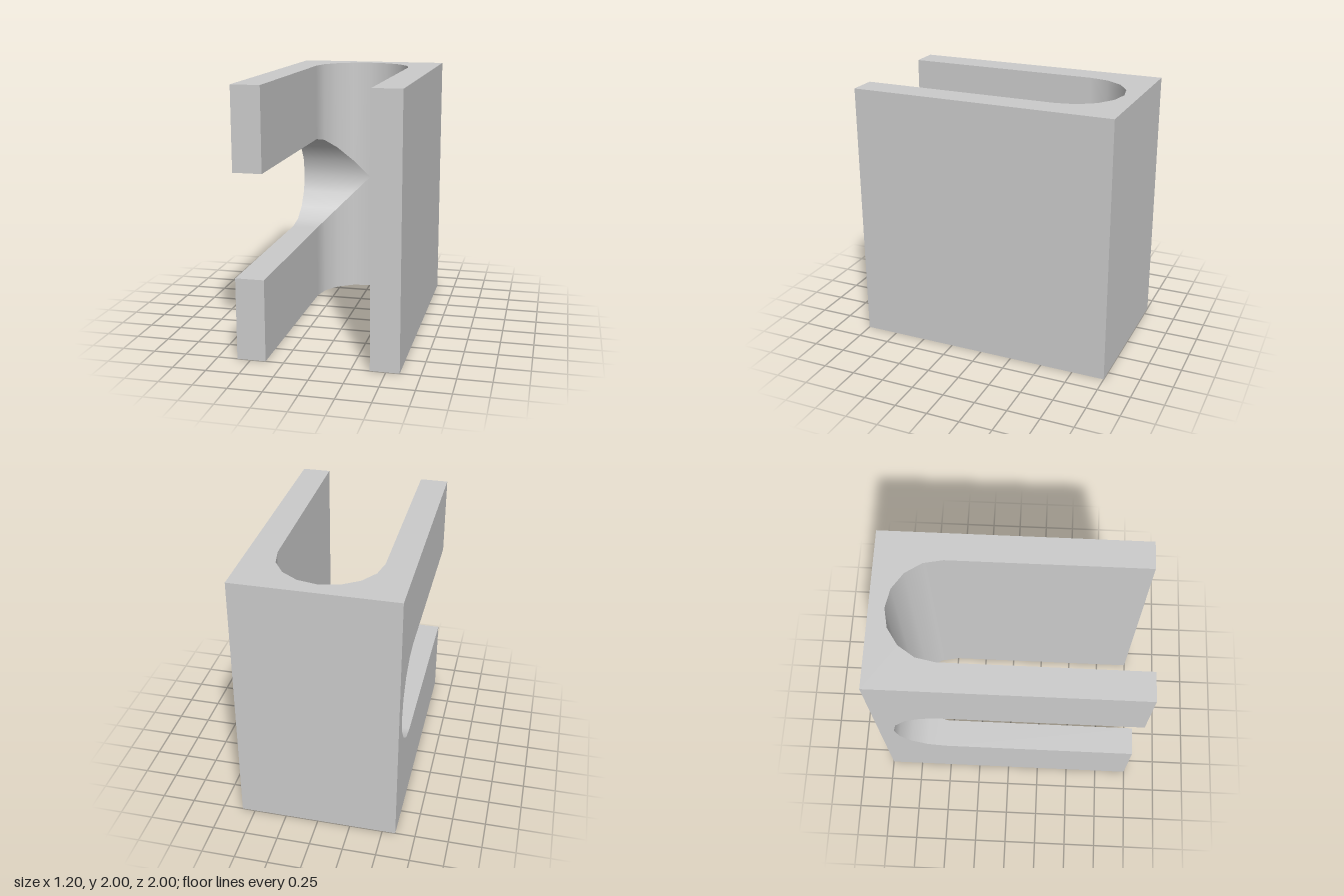
import * as THREE from 'three';

const HALF_W = 0.6, R = 0.385, ARC_Z = -0.5, STEPS = 4;

// Half of the U-shaped channel profile, from the open front to the rounded back:
// w = half width, z = depth, nw / nz = normal towards the channel's middle
const profile = [{ w: R, z: 1, nw: 1, nz: 0 }];
for (let i = 0; i <= STEPS; i++) {
  const a = (i / STEPS) * Math.PI / 2;
  const c = Math.cos(a), s = Math.sin(a);
  profile.push({ w: i === STEPS ? 0 : R * c, z: ARC_Z - R * s, nw: c, nz: s });
}

export function createModel() {
  const model = new THREE.Group();
  const material = new THREE.MeshStandardMaterial({ color: 0xcccccc });

  function add(name, geometry, x = 0, y = 0, z = 0) {
    const mesh = new THREE.Mesh(geometry, material);
    mesh.name = name;
    mesh.position.set(x, y, z);
    model.add(mesh);
  }

  // Flat outer face with the U-shaped channel cut out of it, turned about z
  function slottedFace(half, turn) {
    const shape = new THREE.Shape();
    shape.moveTo(-half, -1);
    profile.forEach(p => shape.lineTo(-p.w, -p.z));
    profile.slice(0, -1).reverse().forEach(p => shape.lineTo(p.w, -p.z));
    shape.lineTo(half, -1);
    shape.lineTo(half, 1);
    shape.lineTo(-half, 1);
    return new THREE.ShapeGeometry(shape).rotateX(-Math.PI / 2).rotateZ(turn);
  }

  // Smooth channel wall swept between two rails along the profile
  function wall(from, to, normal) {
    const pos = [], nor = [], index = [];
    profile.forEach((p, i) => {
      pos.push(...from(p), p.z, ...to(p), p.z);
      const n = [...normal(p), p.nz];
      nor.push(...n, ...n);
      if (i > 0) {
        const a = 2 * (i - 1);
        index.push(a, a + 1, a + 2, a + 1, a + 3, a + 2);
      }
    });
    const g = new THREE.BufferGeometry();
    g.setAttribute('position', new THREE.Float32BufferAttribute(pos, 3));
    g.setAttribute('normal', new THREE.Float32BufferAttribute(nor, 3));
    g.setIndex(index);
    return g;
  }

  // Outer faces of the block
  add('topFace', slottedFace(HALF_W, 0), 0, 2, 0);
  add('bottomFace', slottedFace(HALF_W, Math.PI));
  add('rightFace', slottedFace(1, Math.PI / 2), -HALF_W, 1, 0);
  add('leftFace', new THREE.PlaneGeometry(2, 2).rotateY(Math.PI / 2), HALF_W, 1, 0);
  add('backFace', new THREE.PlaneGeometry(2 * HALF_W, 2).rotateY(Math.PI), 0, 1, -1);

  // Front ends of the full left wall and the two right arms
  const t = HALF_W - R, armH = 1 - R, endX = R + t / 2;
  add('leftWallEnd', new THREE.PlaneGeometry(t, 2), endX, 1, 1);
  add('lowerArmEnd', new THREE.PlaneGeometry(t, armH), -endX, armH / 2, 1);
  add('upperArmEnd', new THREE.PlaneGeometry(t, armH), -endX, 2 - armH / 2, 1);

  // Vertical channel, its right half split by the side channel's mitre
  add('channelLeft', wall(p => [p.w, 0], p => [p.w, 2], p => [-p.nw, 0]));
  add('channelLowerRight', wall(p => [-p.w, 1 - p.w], p => [-p.w, 0], p => [p.nw, 0]));
  add('channelUpperRight', wall(p => [-p.w, 2], p => [-p.w, 1 + p.w], p => [p.nw, 0]));

  // Side channel running out through the right face
  add('sideChannelFloor', wall(p => [-HALF_W, 1 - p.w], p => [-p.w, 1 - p.w], p => [0, p.nw]));
  add('sideChannelCeiling', wall(p => [-p.w, 1 + p.w], p => [-HALF_W, 1 + p.w], p => [0, -p.nw]));

  return model;
}
